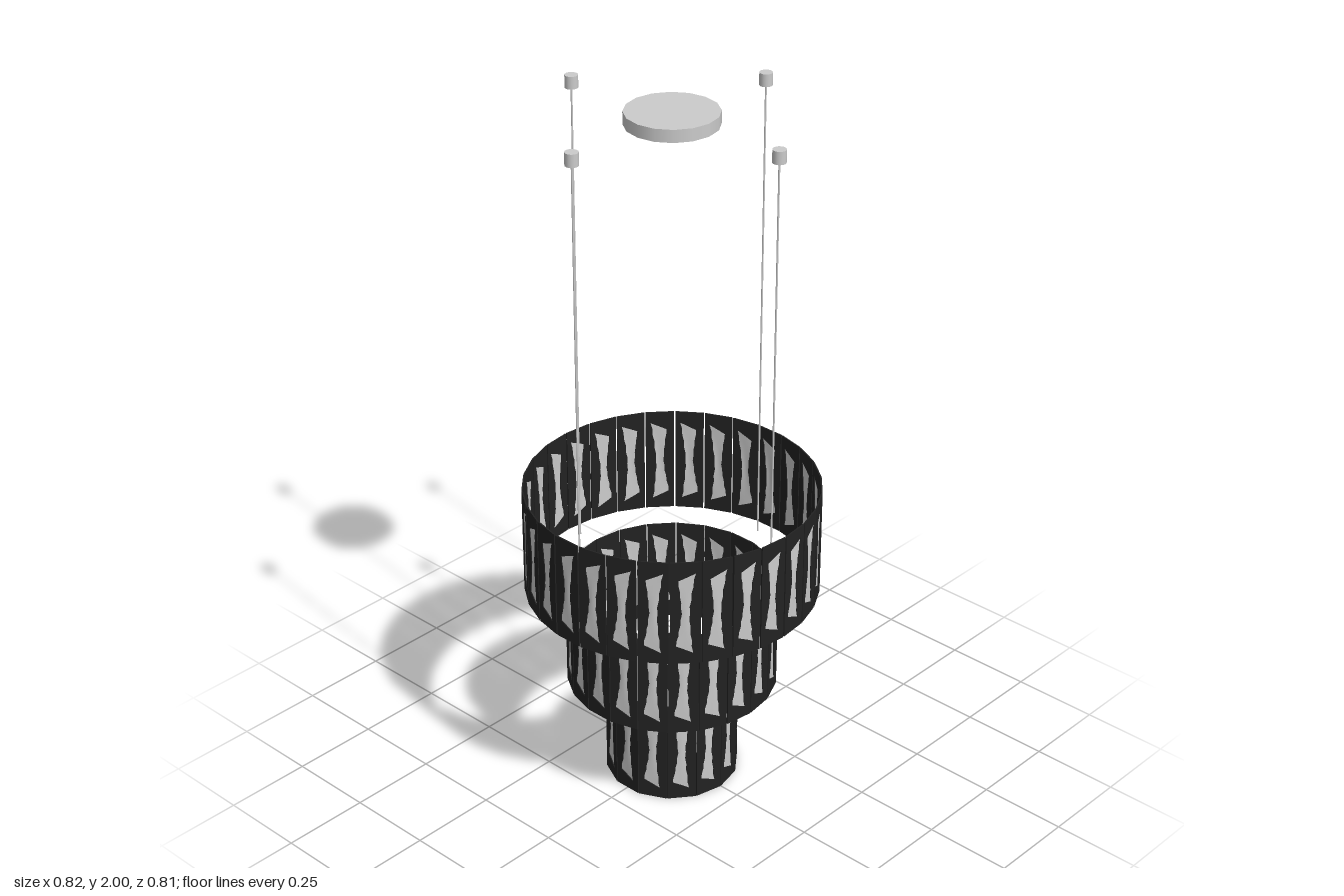
import * as THREE from 'three';

const PANEL_W = 0.081, PANEL_H = 0.312, PANEL_D = 0.004;
const ROWS = 12;

// Hourglass window: u runs -1..1 across, t runs 0..1 upwards
function windowPoint(u, t) {
  const k = 2 * t - 1;
  const jag = 0.0012 * Math.sin(t * 37 + u * 2);
  const half = 0.0105 + 0.0125 * Math.pow(Math.abs(k), 1.4) + jag;
  const slant = 0.011 * u * k;
  return new THREE.Vector2(u * half + 0.003 * k, 0.042 + 0.225 * t + slant);
}

// Thin dark slab with the hourglass window cut out
function frameGeometry() {
  const w = PANEL_W / 2;
  const shape = new THREE.Shape([
    new THREE.Vector2(-w, 0), new THREE.Vector2(w, 0),
    new THREE.Vector2(w, PANEL_H), new THREE.Vector2(-w, PANEL_H),
  ]);
  const rim = [];
  for (let i = 0; i <= ROWS; i++) rim.push(windowPoint(-1, i / ROWS));
  for (let i = ROWS; i >= 0; i--) rim.push(windowPoint(1, i / ROWS));
  shape.holes.push(new THREE.Path(rim));
  const geo = new THREE.ExtrudeGeometry(shape, { depth: PANEL_D, bevelEnabled: false });
  return geo.translate(0, 0, -PANEL_D / 2);
}

// Gently rippled glass filling the window
function glassGeometry() {
  const geo = new THREE.PlaneGeometry(2, 1, 4, ROWS);
  const pos = geo.attributes.position;
  for (let i = 0; i < pos.count; i++) {
    const u = pos.getX(i), t = pos.getY(i) + 0.5;
    const p = windowPoint(u, t);
    pos.setXYZ(i, p.x, p.y, 0.0018 * (1 - u * u) * Math.cos((t - 0.5) * 4));
  }
  geo.computeVertexNormals();
  return geo;
}

export function createModel() {
  const model = new THREE.Group();
  model.name = 'tieredChandelier';

  const grey = new THREE.MeshStandardMaterial({ color: 0xcccccc });
  const glass = new THREE.MeshStandardMaterial({ color: 0xcccccc, side: THREE.DoubleSide });
  const dark = new THREE.MeshStandardMaterial({ color: 0x222222 });

  const add = (parent, name, geo, mat, x = 0, y = 0, z = 0) => {
    const mesh = new THREE.Mesh(geo, mat);
    mesh.name = name;
    mesh.position.set(x, y, z);
    parent.add(mesh);
    return mesh;
  };

  // Three rings of upright panels
  const frame = frameGeometry(), pane = glassGeometry();
  const tiers = [
    { name: 'upperTier', count: 30, radius: 0.404, y: 0.606 },
    { name: 'middleTier', count: 22, radius: 0.291, y: 0.304 },
    { name: 'lowerTier', count: 14, radius: 0.182, y: 0 },
  ];
  for (const { name, count, radius, y } of tiers) {
    const tier = new THREE.Group();
    tier.name = name;
    tier.position.y = y;
    for (let i = 0; i < count; i++) {
      const panel = new THREE.Group();
      const a = (i / count) * Math.PI * 2;
      panel.name = 'panel';
      panel.position.set(Math.sin(a) * radius, 0, Math.cos(a) * radius);
      panel.rotation.y = a;
      add(panel, 'panelFrame', frame, dark);
      add(panel, 'panelGlass', pane, glass);
      tier.add(panel);
    }
    model.add(tier);
  }

  // Ceiling plate
  add(model, 'ceilingPlate', new THREE.CylinderGeometry(0.125, 0.125, 0.035, 16), grey, 0, 1.9825, 0);

  // Four suspension wires with ceiling cups
  const cup = new THREE.CylinderGeometry(0.018, 0.018, 0.035, 16);
  const wireBottom = 0.61, wireTop = 1.97;
  const wire = new THREE.CylinderGeometry(0.0025, 0.0025, wireTop - wireBottom, 8);
  for (let i = 0; i < 4; i++) {
    const a = (i * Math.PI) / 2;
    const x = Math.sin(a) * 0.357, z = Math.cos(a) * 0.357;
    add(model, 'ceilingCup', cup, grey, x, 1.9825, z);
    add(model, 'suspensionWire', wire, grey, x, (wireTop + wireBottom) / 2, z);
  }

  return model;
}
